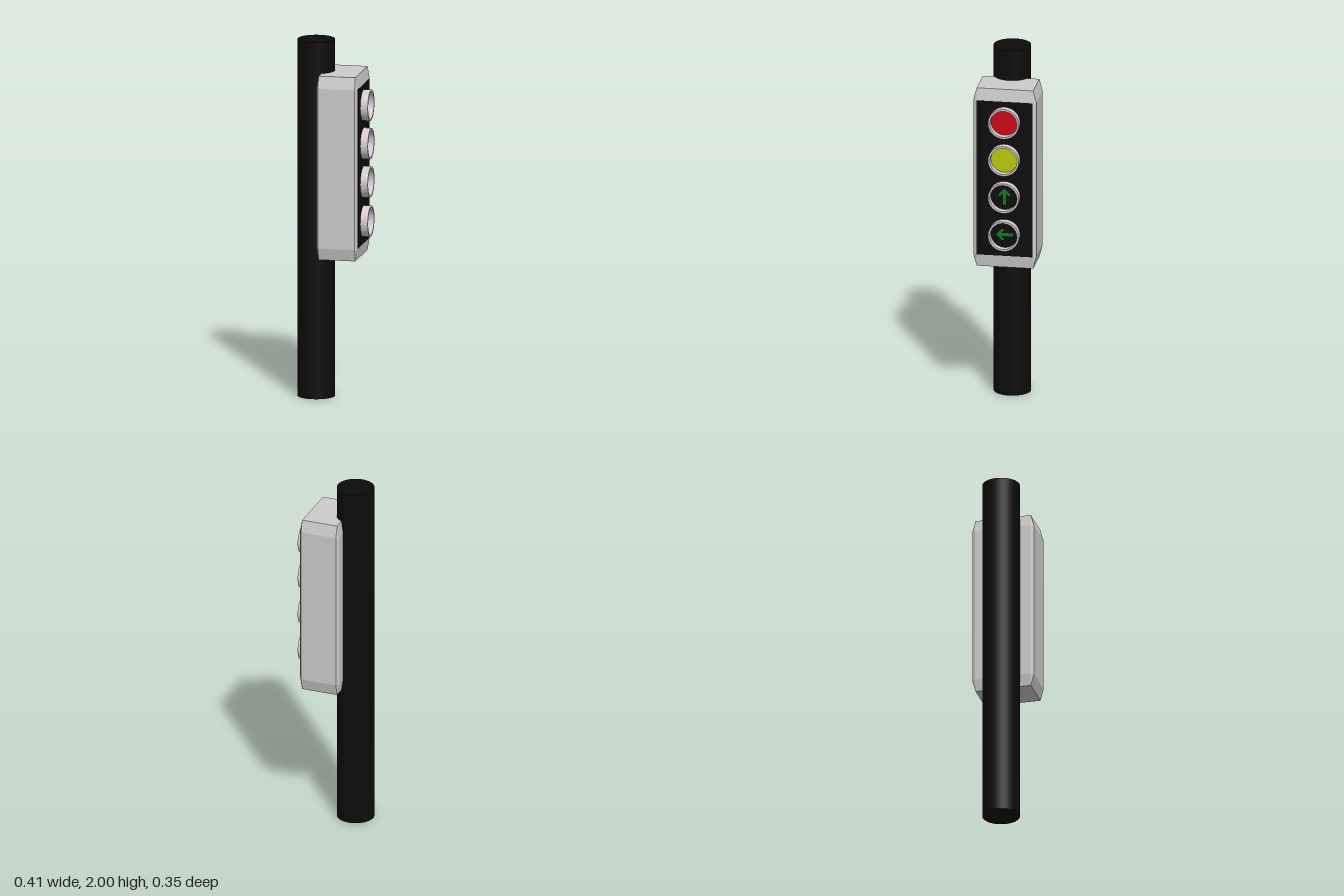
import * as THREE from 'three';
import { ConvexGeometry } from 'three/addons/geometries/ConvexGeometry.js';

const material = (color) => new THREE.MeshStandardMaterial({ color });

// Box with chamfered edges; bevel is the inset along each axis
function chamferedBox(half, bevel) {
  const points = [];
  for (const sx of [-1, 1]) for (const sy of [-1, 1]) for (const sz of [-1, 1]) {
    for (let full = 0; full < 3; full++) {
      const c = half.map((h, i) => (i === full ? h : h - bevel[i]));
      points.push(new THREE.Vector3(sx * c[0], sy * c[1], sz * c[2]));
    }
  }
  return new ConvexGeometry(points);
}

// Flat ring extruded along z
function ringGeometry(outer, inner, depth) {
  const shape = new THREE.Shape().absarc(0, 0, outer, 0, Math.PI * 2, false);
  shape.holes.push(new THREE.Path().absarc(0, 0, inner, 0, Math.PI * 2, true));
  return new THREE.ExtrudeGeometry(shape, { depth, bevelEnabled: false, curveSegments: 32 });
}

// Arrow pointing along +y
function arrowGeometry() {
  const half = [[0.009, -0.047], [0.009, 0.017], [0.028, -0.002], [0.032, 0.014]];
  const outline = [...half, [0, 0.047], ...half.map(([x, y]) => [-x, y]).reverse()];
  return new THREE.ShapeGeometry(new THREE.Shape(outline.map(([x, y]) => new THREE.Vector2(x, y))));
}

export function createModel() {
  const model = new THREE.Group();
  model.name = 'trafficLight';
  const add = (name, geometry, mat, x, y, z = 0, parent = model) => {
    const mesh = new THREE.Mesh(geometry, mat);
    mesh.name = name;
    mesh.position.set(x, y, z);
    parent.add(mesh);
    return mesh;
  };
  const black = material(0x0c0c0c);

  // Pole and housing
  add('pole', new THREE.CylinderGeometry(0.103, 0.103, 2, 64), black, -0.102, 1);
  add('housing', chamferedBox([0.114, 0.515, 0.175], [0.011, 0.067, 0.018]),
    material(0xcccccc), 0.048, 1.31, -0.001);

  // Black face panel on the +x side
  add('facePanel', new THREE.BoxGeometry(0.004, 0.892, 0.311), black, 0.161, 1.31, -0.001);

  // Lamps: each is built facing +z, then turned to face +x
  const bezelMaterial = material(0xd2cad0);
  const green = material(0x0f7a24);
  const bezel = ringGeometry(0.086, 0.075, 0.044);
  const lens = new THREE.CircleGeometry(0.077, 32);
  const arrow = arrowGeometry();
  const lamps = [
    { name: 'redLamp', y: 1.64, lens: material(0xcc0a14) },
    { name: 'yellowLamp', y: 1.425, lens: material(0xb8c80c) },
    { name: 'straightArrowLamp', y: 1.21, lens: black, turn: 0 },
    { name: 'turnArrowLamp', y: 0.99, lens: black, turn: Math.PI / 2 },
  ];
  for (const lamp of lamps) {
    const group = new THREE.Group();
    group.name = lamp.name;
    group.position.set(0.161, lamp.y, -0.002);
    group.rotation.y = Math.PI / 2;
    model.add(group);
    add('bezel', bezel, bezelMaterial, 0, 0, 0, group);
    add('lens', lens, lamp.lens, 0, 0, 0.006, group);
    if (lamp.turn !== undefined) {
      add('arrow', arrow, green, 0, 0, 0.009, group).rotation.z = lamp.turn;
    }
  }
  return model;
}
